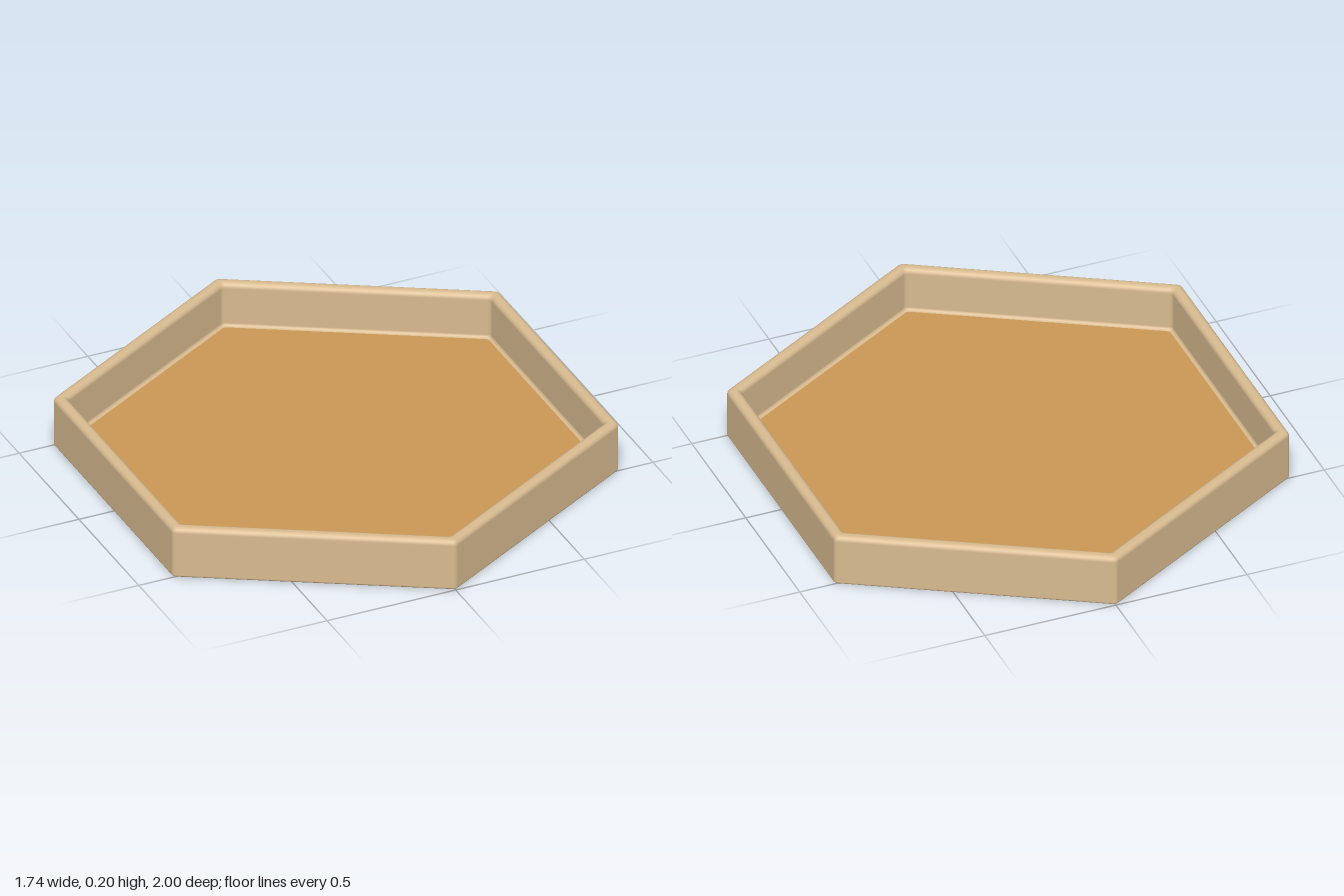
import * as THREE from 'three';

const CORNER = 0.02; // rounding of the six upright corners
const STEPS = 6;

// Rounded hexagon with its points on the z axis: [x, z, normal angle]
function hexRing(apothem) {
  const ring = [];
  const reach = (apothem - CORNER) / Math.cos(Math.PI / 6);
  for (let k = 0; k < 6; k++) {
    const c = (k * Math.PI) / 3;
    for (let s = 0; s <= STEPS; s++) {
      const t = c + (s / STEPS - 0.5) * (Math.PI / 3);
      ring.push([
        reach * Math.sin(c) + CORNER * Math.sin(t),
        reach * Math.cos(c) + CORNER * Math.cos(t),
        t,
      ]);
    }
  }
  return ring;
}

// Profile arc: [apothem, y, outward normal, upward normal]; side -1 for a hollow fillet
function arc(a, y, r, from, to, side = 1) {
  const pts = [];
  for (let s = 0; s <= 6; s++) {
    const t = THREE.MathUtils.degToRad(from + ((to - from) * s) / 6);
    const c = Math.cos(t), n = Math.sin(t);
    pts.push([a + r * c, y + r * n, side * c, side * n]);
  }
  return pts;
}

// Sweep a profile round the hexagon with smooth normals
function sweepHex(profile) {
  const pos = [], nor = [], idx = [];
  const count = 6 * (STEPS + 1);
  for (const [a, y, nr, ny] of profile) {
    for (const [x, z, t] of hexRing(a)) {
      pos.push(x, y, z);
      nor.push(nr * Math.sin(t), ny, nr * Math.cos(t));
    }
  }
  for (let j = 0; j < profile.length - 1; j++) {
    for (let i = 0; i < count; i++) {
      const n = (i + 1) % count;
      const a = j * count + i, b = j * count + n;
      idx.push(a, b, a + count, b, b + count, a + count);
    }
  }
  const g = new THREE.BufferGeometry();
  g.setAttribute('position', new THREE.Float32BufferAttribute(pos, 3));
  g.setAttribute('normal', new THREE.Float32BufferAttribute(nor, 3));
  g.setIndex(idx);
  return g;
}

// Flat hexagonal face, turned up or down
function hexFace(apothem, y, up) {
  const shape = new THREE.Shape(hexRing(apothem).map(([x, z]) => new THREE.Vector2(x, z)));
  const g = new THREE.ShapeGeometry(shape);
  g.rotateX(up ? -Math.PI / 2 : Math.PI / 2);
  return g.translate(0, y, 0);
}

export function createModel() {
  const rimMat = new THREE.MeshStandardMaterial({ color: 0xd8bb90 });
  rimMat.name = 'paleWood';
  const floorMat = new THREE.MeshStandardMaterial({ color: 0xcb9856 });
  floorMat.name = 'honeyWood';

  const tray = new THREE.Group();
  tray.name = 'hexagonalTray';
  const add = (name, geometry, material) => {
    const mesh = new THREE.Mesh(geometry, material);
    mesh.name = name;
    tray.add(mesh);
  };

  // Wall: lower edge, outside, rounded rim, inside, fillet to the floor
  const profile = [
    ...arc(0.858, 0.01, 0.01, -90, 0),
    ...arc(0.848, 0.18, 0.02, 0, 90),
    ...arc(0.842, 0.18, 0.02, 90, 180),
    ...arc(0.81, 0.04, 0.012, 0, -90, -1),
  ];
  add('wall', sweepHex(profile), rimMat);
  add('underside', hexFace(0.858, 0, false), rimMat);
  add('floor', hexFace(0.81, 0.028, true), floorMat);
  return tray;
}
